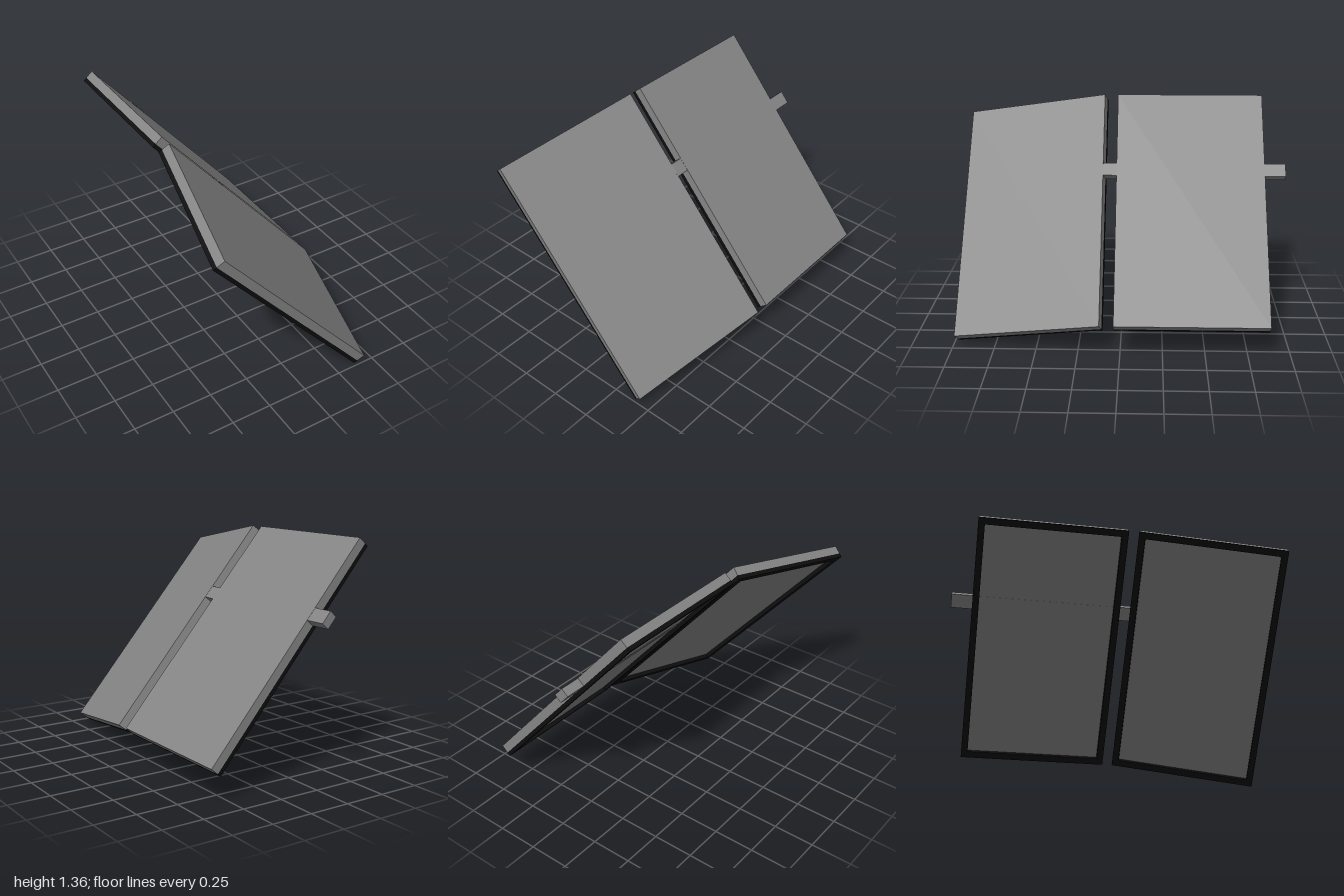
import * as THREE from 'three';

const WIDTH = 1.53;    // long edge, along the slope
const LENGTH = 0.91;   // short edge, along z
const BODY = 0.053;    // slab thickness
const RIM = 0.025;     // depth of the rim under the slab
const BORDER = 0.04;   // width of the rim

const grey = new THREE.MeshStandardMaterial({ color: 0x868686, flatShading: true });
const black = new THREE.MeshStandardMaterial({ color: 0x0e0e0e, flatShading: true });

function box(name, w, h, d, x, y, z) {
  const mesh = new THREE.Mesh(new THREE.BoxGeometry(w, h, d), grey);
  mesh.name = name;
  mesh.position.set(x, y, z);
  return mesh;
}

function rectangle(target, w, z0, z1) {
  target.moveTo(-w / 2, z0);
  target.lineTo(w / 2, z0);
  target.lineTo(w / 2, z1);
  target.lineTo(-w / 2, z1);
  target.closePath();
  return target;
}

// Slab with its top at y = 0 running from z = 0 to LENGTH, and a black rim below
function makePanel(name) {
  const panel = new THREE.Group();
  panel.name = name;
  panel.add(box('slab', WIDTH, BODY, LENGTH, 0, -BODY / 2, LENGTH / 2));

  const outline = rectangle(new THREE.Shape(), WIDTH, 0, LENGTH);
  outline.holes.push(rectangle(new THREE.Path(), WIDTH - 2 * BORDER, BORDER, LENGTH - BORDER));
  const geometry = new THREE.ExtrudeGeometry(outline, { depth: RIM, bevelEnabled: false });
  geometry.rotateX(Math.PI / 2);
  const rim = new THREE.Mesh(geometry, black);
  rim.name = 'rim';
  rim.position.y = -BODY;
  panel.add(rim);
  return panel;
}

export function createModel() {
  const model = new THREE.Group();
  model.name = 'hingedPanels';

  // Everything leans over sideways together
  const tilted = new THREE.Group();
  tilted.name = 'tiltedAssembly';
  tilted.position.set(0.1165, 0.782, 0);
  tilted.rotation.z = -0.858;
  model.add(tilted);

  const rear = makePanel('rearPanel');
  rear.position.z = -0.873;
  tilted.add(rear);

  // Front panel folds down about its rear edge
  const front = makePanel('frontPanel');
  front.position.z = 0.12;
  front.rotation.x = THREE.MathUtils.degToRad(15);
  tilted.add(front);

  // Connecting bar runs through the rear panel, just proud of its underside
  const z0 = -1, z1 = 0.124, top = -0.001, bottom = -BODY - 0.002;
  tilted.add(box('connectingBar', 0.084, top - bottom, z1 - z0, -0.24, (top + bottom) / 2, (z0 + z1) / 2));
  return model;
}
